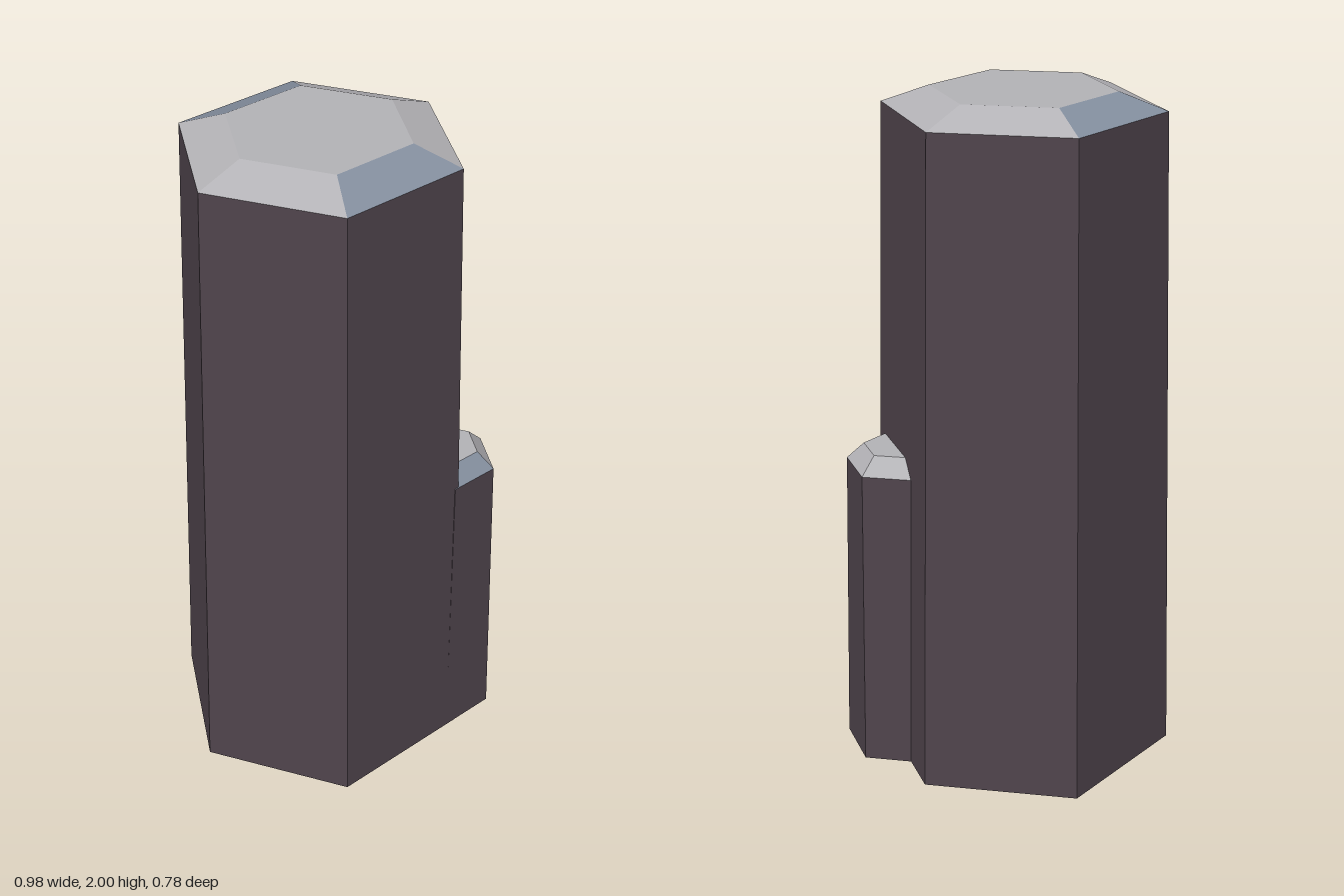
import * as THREE from 'three';

const material = (name, color) => Object.assign(new THREE.MeshStandardMaterial({ color }), { name });

// Six-sided tapered prism with corners on the x axis and flat faces
function hexPrism(topRadius, bottomRadius, height, openEnded = false) {
  return new THREE.CylinderGeometry(topRadius, bottomRadius, height, 6, 1, openEnded, Math.PI / 2);
}

function flat(geometry) {
  const g = geometry.toNonIndexed();
  g.computeVertexNormals();
  return g;
}

// Dark tapered shaft with a pale bevelled tip; two opposite bevels are blue grey
function column(name, { x, z, base, shoulder, tip, shoulderY, tipY }, mats) {
  const group = new THREE.Group();
  group.name = name;
  group.position.set(x, 0, z);

  const shaft = new THREE.Mesh(flat(hexPrism(shoulder, base, shoulderY)), mats.stone);
  shaft.name = name + 'Shaft';
  shaft.position.y = shoulderY / 2;

  const bevel = hexPrism(tip, shoulder, tipY - shoulderY, true);
  bevel.clearGroups();
  for (let face = 0; face < 6; face++) bevel.addGroup(face * 6, 6, face % 3 === 2 ? 1 : 0);
  const rim = new THREE.Mesh(flat(bevel), [mats.pale, mats.blue]);
  rim.name = name + 'BevelledRim';
  rim.position.y = (shoulderY + tipY) / 2;

  const top = new THREE.Mesh(new THREE.CircleGeometry(tip, 6), mats.pale);
  top.name = name + 'Top';
  top.rotation.x = -Math.PI / 2;
  top.position.y = tipY;

  group.add(shaft, rim, top);
  return group;
}

export function createModel() {
  const mats = {
    stone: material('darkStone', 0x4f444c),
    pale: material('paleStone', 0xb4b3b7),
    blue: material('blueGreyStone', 0x8590a0),
  };
  const model = new THREE.Group();
  model.name = 'basaltColumns';
  model.add(
    column('mainColumn', { x: -0.035, z: 0, base: 0.453, shoulder: 0.4, tip: 0.263, shoulderY: 1.95, tipY: 2 }, mats),
    column('smallColumn', { x: 0.31, z: -0.122, base: 0.178, shoulder: 0.155, tip: 0.103, shoulderY: 0.92, tipY: 0.97 }, mats),
  );
  return model;
}
